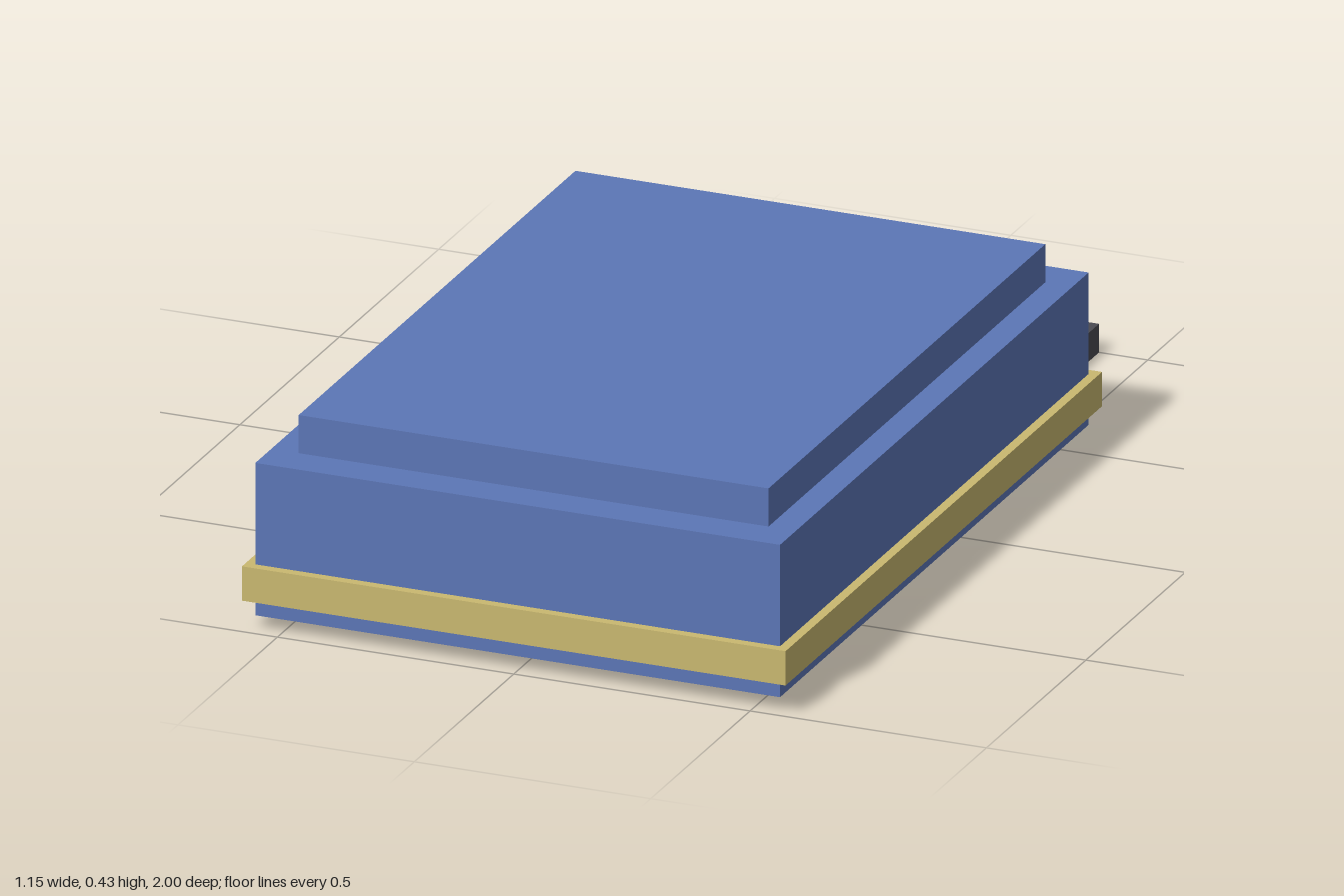
import * as THREE from 'three';

const material = (name, color) => {
  const m = new THREE.MeshStandardMaterial({ color });
  m.name = name;
  return m;
};

export function createModel() {
  const blue = material('blue', 0x5c76b6);
  const gold = material('gold', 0xc9b870);
  const charcoal = material('charcoal', 0x4a4a52);
  const model = new THREE.Group();
  model.name = 'steppedCase';

  // Box centred on x, given its width and its y and z ranges
  const slab = (name, mat, width, y0, y1, z0, z1) => {
    const mesh = new THREE.Mesh(new THREE.BoxGeometry(width, y1 - y0, z1 - z0), mat);
    mesh.position.set(0, (y0 + y1) / 2, (z0 + z1) / 2);
    mesh.name = name;
    model.add(mesh);
  };

  // Main case and raised top
  slab('body', blue, 1.11, 0.03, 0.35, -0.572, 0.98);
  slab('raisedTop', blue, 0.994, 0.35, 0.43, -0.492, 0.9);

  // Trim around the lower body, and the block on the rear wall
  slab('trimBand', gold, 1.15, 0.065, 0.137, -0.592, 1);
  slab('rearBlock', gold, 0.196, 0.155, 0.311, -0.632, -0.572);

  // Flat plate reaching out behind
  slab('rearPlate', charcoal, 0.794, 0, 0.06, -1, -0.524);

  return model;
}
